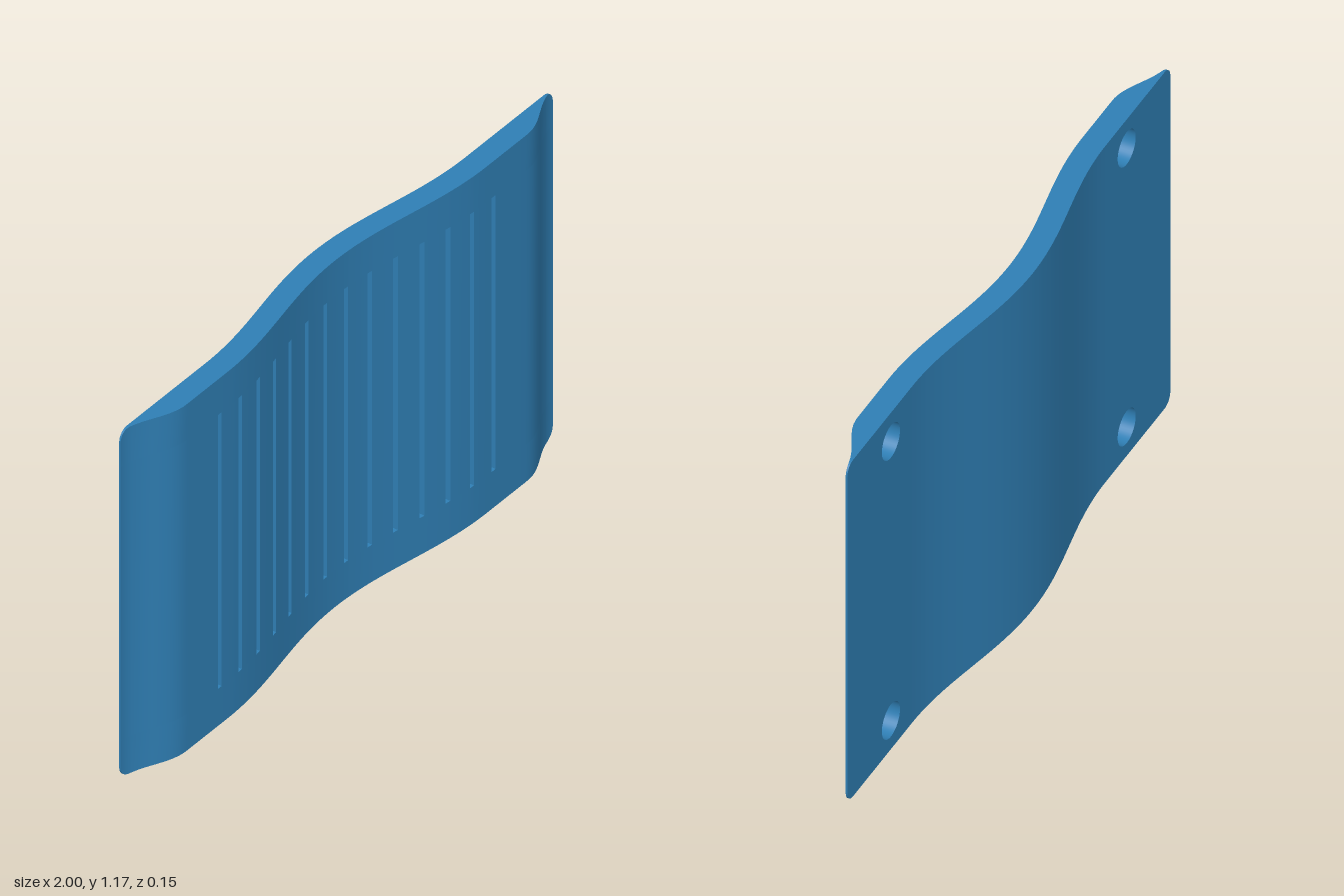
import * as THREE from 'three';

const H = 1.17, T = 0.073, R = 0.035;            // height, thickness, corner radius
const G0 = 0.125, G1 = 1.05, GW = 0.018, GD = 0.02; // groove ends, width, depth
const HOLE_X = 0.73, HOLE_R = 0.056, HOLE_DEPTH = 0.05, HOLE_INSET = 0.1;

const ease = t => (1 - Math.cos(Math.PI * THREE.MathUtils.clamp(t, 0, 1))) / 2;
const back = x => -T * (1 - ease(Math.abs(x) / 0.6));
const front = x => back(x) + T - (T - 0.005) * ease((Math.abs(x) - 0.79) / 0.21);
const low = x => {
  const d = Math.max(0, Math.abs(x) - (1 - R));
  return R - Math.sqrt(Math.max(0, R * R - d * d));
};
const high = x => H - low(x);

// Smooth surface through rows of [a, b] point pairs
function sheet(rows) {
  const pos = rows.flat(2), index = [];
  for (let i = 0; i < rows.length - 1; i++) {
    const a = 2 * i;
    index.push(a, a + 2, a + 3, a, a + 3, a + 1);
  }
  const g = new THREE.BufferGeometry();
  g.setAttribute('position', new THREE.Float32BufferAttribute(pos, 3));
  g.setIndex(index);
  g.computeVertexNormals();
  return g;
}

export function createModel() {
  const model = new THREE.Group();
  model.name = 'wavyPlate';
  const blue = new THREE.MeshStandardMaterial({ color: 0x2f7fb5 });
  const inside = new THREE.MeshStandardMaterial({ color: 0x2f7fb5, side: THREE.BackSide });
  const add = (name, geometry, material = blue) => {
    const mesh = new THREE.Mesh(geometry, material);
    mesh.name = name;
    model.add(mesh);
    return mesh;
  };

  // Stations along the width, including groove edges and rounded corners
  const grooves = Array.from({ length: 14 }, (_, i) => -0.634 + i * 1.268 / 13);
  const stations = new Set([-0.6, 0.6]);
  for (let i = -48; i <= 48; i++) stations.add(i / 50);
  for (let i = 0; i <= 10; i++) {
    const x = 1 - R + R * Math.sin(i / 10 * Math.PI / 2);
    stations.add(x).add(-x);
  }
  for (const c of grooves) stations.add(c - GW / 2).add(c + GW / 2);
  const xs = [...stations].sort((a, b) => a - b);
  const between = (a, b) => xs.filter(x => x >= a - 1e-9 && x <= b + 1e-9);
  const across = (list, fn) => sheet(list.map(fn));

  // Front face: plain bands above and below the grooves, strips between them
  add('frontLowerBand', across(xs, x => [[x, low(x), front(x)], [x, G0, front(x)]]));
  add('frontUpperBand', across(xs, x => [[x, G1, front(x)], [x, high(x), front(x)]]));
  const edges = [-1, ...grooves.flatMap(c => [c - GW / 2, c + GW / 2]), 1];
  for (let i = 0; i < edges.length; i += 2) {
    add('frontStrip', across(between(edges[i], edges[i + 1]),
      x => [[x, G0, front(x)], [x, G1, front(x)]]));
  }

  // Grooves: floor, two side walls and two ends
  for (const c of grooves) {
    const l = c - GW / 2, r = c + GW / 2, span = between(l, r);
    const floor = x => front(x) - GD;
    add('grooveFloor', across(span, x => [[x, G0, floor(x)], [x, G1, floor(x)]]));
    add('grooveWall', sheet([G0, G1].map(y => [[l, y, floor(l)], [l, y, front(l)]])));
    add('grooveWall', sheet([G0, G1].map(y => [[r, y, front(r)], [r, y, floor(r)]])));
    add('grooveEnd', across(span, x => [[x, G0, front(x)], [x, G0, floor(x)]]));
    add('grooveEnd', across(span, x => [[x, G1, floor(x)], [x, G1, front(x)]]));
  }

  // Top, bottom and curved middle of the back
  add('topEdge', across(xs, x => [[x, high(x), front(x)], [x, high(x), back(x)]]));
  add('bottomEdge', across(xs, x => [[x, low(x), back(x)], [x, low(x), front(x)]]));
  add('backCurve', across(between(-0.6, 0.6), x => [[x, H, back(x)], [x, 0, back(x)]]));

  for (const s of [-1, 1]) {
    // Thin end edge
    const f = front(1), ends = s > 0 ? [0, f] : [f, 0];
    add('endEdge', sheet([R, H - R].map(y => ends.map(z => [s, y, z]))));

    // Flat back pad with two blind holes
    const tail = between(0.6, 1);
    const pad = new THREE.Shape([
      ...tail.map(x => new THREE.Vector2(-s * x, low(x))),
      ...[...tail].reverse().map(x => new THREE.Vector2(-s * x, high(x))),
    ]);
    for (const y of [HOLE_INSET, H - HOLE_INSET]) {
      pad.holes.push(new THREE.Path().absarc(-s * HOLE_X, y, HOLE_R, 0, Math.PI * 2, true));
      const wall = new THREE.CylinderGeometry(HOLE_R, HOLE_R, HOLE_DEPTH, 48, 1, true);
      add('holeWall', wall.rotateX(Math.PI / 2), inside)
        .position.set(s * HOLE_X, y, HOLE_DEPTH / 2);
      add('holeFloor', new THREE.CircleGeometry(HOLE_R, 48).rotateY(Math.PI))
        .position.set(s * HOLE_X, y, HOLE_DEPTH);
    }
    add('backPad', new THREE.ShapeGeometry(pad, 24).rotateY(Math.PI));
  }
  return model;
}
